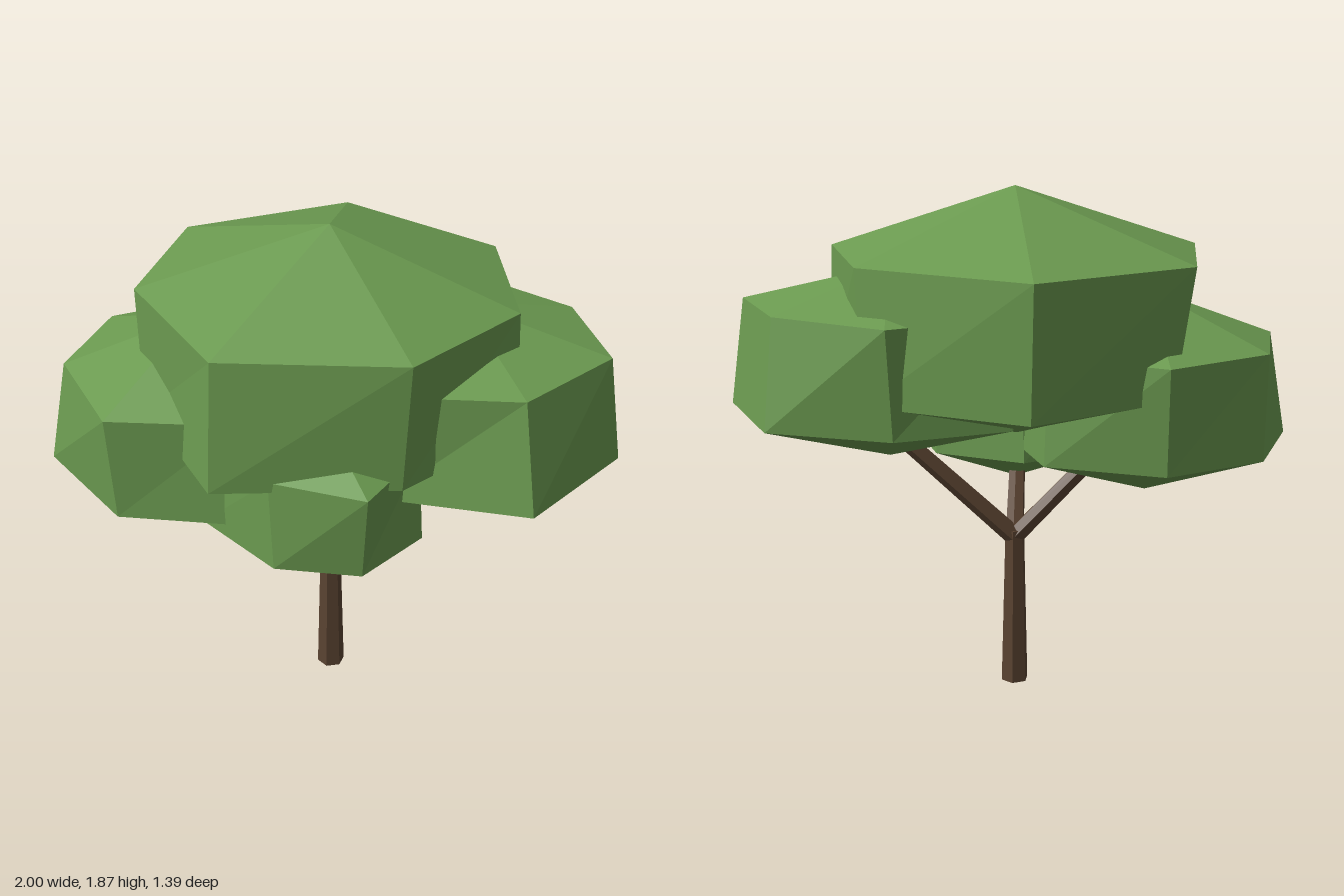
import * as THREE from 'three';

const leafGreen = new THREE.MeshStandardMaterial({ color: 0x6b9a50, flatShading: true });
leafGreen.name = 'leafGreen';
const barkBrown = new THREE.MeshStandardMaterial({ color: 0x5a4331, flatShading: true });
barkBrown.name = 'barkBrown';

// Faceted clump: top point, upper ring, lower ring and bottom point.
// Ring corners are [x, z] pairs, running from +x round through +z.
function leafClump(name, top, upperY, upper, lowerY, lower, bottom) {
  const U = upper.map(([x, z]) => [x, upperY, z]);
  const L = lower.map(([x, z]) => [x, lowerY, z]);
  const pos = [];
  for (let i = 0; i < U.length; i++) {
    const j = (i + 1) % U.length;
    pos.push(...top, ...U[j], ...U[i]);
    pos.push(...U[j], ...L[j], ...U[i]);
    pos.push(...L[j], ...L[i], ...U[i]);
    pos.push(...L[j], ...bottom, ...L[i]);
  }
  const geo = new THREE.BufferGeometry();
  geo.setAttribute('position', new THREE.Float32BufferAttribute(pos, 3));
  geo.computeVertexNormals();
  const mesh = new THREE.Mesh(geo, leafGreen);
  mesh.name = name;
  return mesh;
}

// Six-sided tapered limb between two points.
function limb(name, from, to, r0, r1) {
  const a = new THREE.Vector3(...from), b = new THREE.Vector3(...to);
  const dir = b.clone().sub(a);
  const mesh = new THREE.Mesh(new THREE.CylinderGeometry(r1, r0, dir.length(), 6), barkBrown);
  mesh.position.copy(a).add(b).multiplyScalar(0.5);
  mesh.quaternion.setFromUnitVectors(new THREE.Vector3(0, 1, 0), dir.normalize());
  mesh.name = name;
  return mesh;
}

export function createModel() {
  const tree = new THREE.Group();
  tree.name = 'tree';

  // Trunk and the three branches
  const fork = [-0.03, 0.57, 0];
  tree.add(
    limb('trunk', [-0.03, 0, 0], [-0.03, 0.6, 0], 0.052, 0.037),
    limb('leftBranch', fork, [0.38, 0.98, -0.12], 0.036, 0.03),
    limb('rightBranch', fork, [-0.42, 0.99, 0.08], 0.036, 0.03),
    limb('frontBranch', fork, [0, 0.86, 0.27], 0.036, 0.03),
  );

  // Crown
  tree.add(
    leafClump('topClump', [-0.03, 1.87, 0],
      1.645, [[0.64, 0], [0.41, 0.47], [-0.205, 0.65], [-0.65, 0.25], [-0.685, -0.285], [-0.2, -0.695], [0.43, -0.49]],
      1.18, [[0.655, 0], [0.385, 0.47], [-0.21, 0.695], [-0.63, 0.27], [-0.62, -0.28], [-0.19, -0.675], [0.4, -0.52]],
      [-0.03, 0.97, 0]),
    leafClump('leftClump', [0.41, 1.595, -0.12],
      1.465, [[0.94, -0.125], [0.735, 0.26], [0.3, 0.375], [-0.05, 0.1], [-0.06, -0.35], [0.3, -0.61], [0.73, -0.46]],
      1.075, [[0.995, -0.13], [0.8, 0.335], [0.29, 0.39], [-0.07, 0.11], [-0.08, -0.36], [0.29, -0.57], [0.75, -0.52]],
      [0.41, 0.9, -0.12]),
    leafClump('rightClump', [-0.5, 1.5, 0.1],
      1.32, [[0.0, 0.1], [-0.19, 0.48], [-0.625, 0.6], [-0.935, 0.28], [-0.935, -0.11], [-0.615, -0.4], [-0.19, -0.28]],
      0.935, [[0.02, 0.1], [-0.18, 0.5], [-0.605, 0.59], [-1.0, 0.31], [-0.93, -0.11], [-0.61, -0.36], [-0.18, -0.3]],
      [-0.5, 0.75, 0.1]),
    leafClump('frontClump', [0.01, 1.37, 0.29],
      1.215, [[0.39, 0.29], [0.315, 0.62], [-0.03, 0.62], [-0.32, 0.44], [-0.33, 0.13], [-0.07, -0.08], [0.26, -0.01]],
      0.885, [[0.41, 0.3], [0.285, 0.58], [-0.01, 0.635], [-0.345, 0.45], [-0.34, 0.12], [-0.08, -0.1], [0.26, -0.02]],
      [0.01, 0.72, 0.29]),
  );
  return tree;
}
